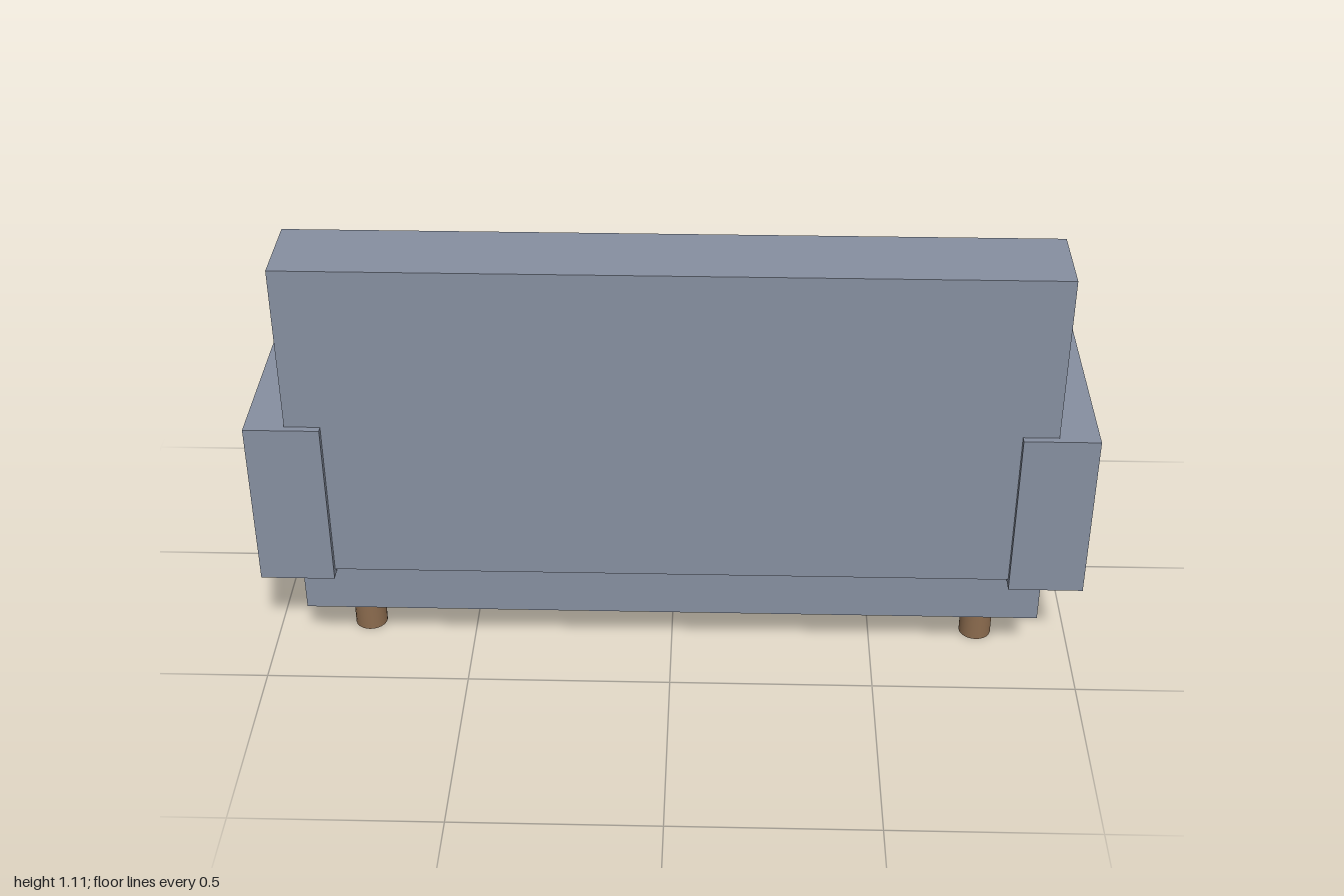
import * as THREE from 'three';

const fabric = new THREE.MeshStandardMaterial({ color: 0x868fa0 });
const wood = new THREE.MeshStandardMaterial({ color: 0x8b6b4e });
const grey = new THREE.MeshStandardMaterial({ color: 0xcccccc });

// Box given by its extents on each axis
function block(name, [x0, x1], [y0, y1], [z0, z1], material = fabric) {
  const mesh = new THREE.Mesh(new THREE.BoxGeometry(x1 - x0, y1 - y0, z1 - z0), material);
  mesh.position.set((x0 + x1) / 2, (y0 + y1) / 2, (z0 + z1) / 2);
  mesh.name = name;
  return mesh;
}

export function createModel() {
  const sofa = new THREE.Group();
  sofa.name = 'sofa';

  // The seat opens towards -z, the backrest stands at +z
  sofa.add(block('base', [-0.905, 0.905], [0.14, 0.41], [-0.44, 0.398]));
  sofa.add(block('backrest', [-0.905, 0.905], [0.277, 1.11], [0.225, 0.423]));

  // Box under the base, slightly off centre
  sofa.add(block('underBox', [-0.21, 0.09], [0.028, 0.14], [-0.207, 0.165], grey));

  // Mirrored arms, seat cushions and legs
  const legGeometry = new THREE.CylinderGeometry(0.04, 0.04, 0.14, 24);
  for (const [side, s] of [['left', 1], ['right', -1]]) {
    const span = (a, b) => (s > 0 ? [a, b] : [-b, -a]);
    sofa.add(block(side + 'Arm', span(0.82, 1), [0.26, 0.692], [-0.395, 0.44]));
    sofa.add(block(side + 'Cushion', span(0.07, 0.82), [0.41, 0.58], [-0.36, 0.225]));
    for (const [end, z] of [['Back', 0.271], ['Front', -0.314]]) {
      const leg = new THREE.Mesh(legGeometry, wood);
      leg.position.set(s * 0.773, 0.07, z);
      leg.name = side + end + 'Leg';
      sofa.add(leg);
    }
  }
  return sofa;
}
